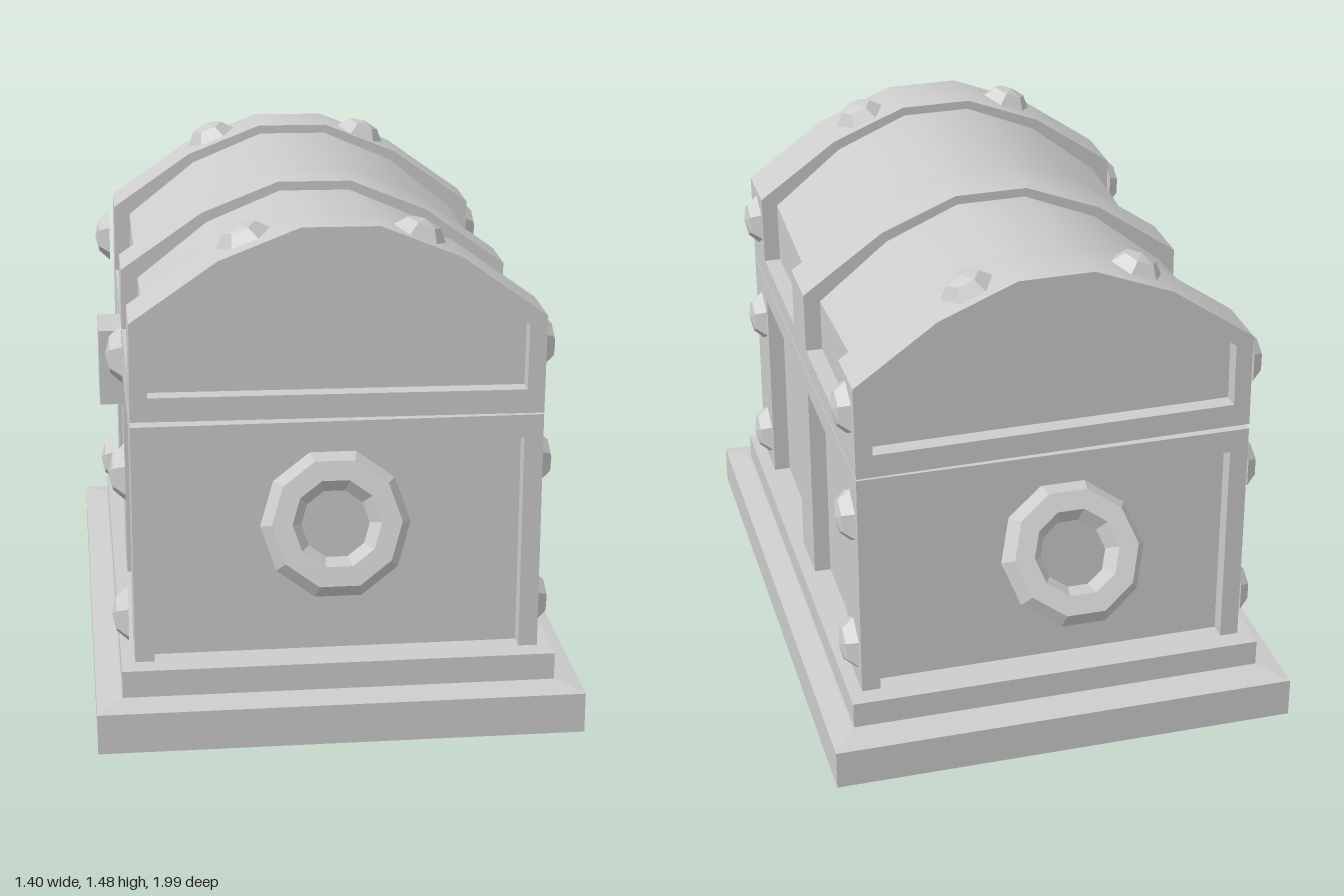
import * as THREE from 'three';
import { toCreasedNormals } from 'three/addons/utils/BufferGeometryUtils.js';

const flat = new THREE.MeshStandardMaterial({ color: 0xcccccc, flatShading: true });
const smooth = new THREE.MeshStandardMaterial({ color: 0xcccccc });
const midZ = 0.0375;

function add(parent, name, geometry, material = flat) {
  const mesh = new THREE.Mesh(geometry, material);
  mesh.name = name;
  parent.add(mesh);
  return mesh;
}

// Box given by its limits on each axis
function box(parent, name, x0, x1, y0, y1, z0, z1) {
  const mesh = add(parent, name, new THREE.BoxGeometry(x1 - x0, y1 - y0, z1 - z0));
  mesh.position.set((x0 + x1) / 2, (y0 + y1) / 2, (z0 + z1) / 2);
  return mesh;
}

// Arched outline from half its points, mirrored to the other side
function arch(PathType, half) {
  const right = half.map(([x, y]) => new THREE.Vector2(x, y));
  const left = half.map(([x, y]) => new THREE.Vector2(-x, y)).reverse();
  return new PathType([...right, ...left]);
}

function extrude(shape, z0, z1, steps = 1) {
  return new THREE.ExtrudeGeometry(shape, { depth: z1 - z0, steps, bevelEnabled: false }).translate(0, 0, z0);
}

// Six-sided domed rivet, its axis turned from +y by angle about z
function rivet(parent, x, y, z, angle, r) {
  const profile = [[0.001, 0], [r, 0], [r * 0.62, 0.034], [0, 0.046]].map(p => new THREE.Vector2(...p));
  const mesh = add(parent, 'rivet', new THREE.LatheGeometry(profile, 6, Math.PI / 2));
  mesh.position.set(x, y, z);
  mesh.rotation.z = angle;
}

export function createModel() {
  const model = new THREE.Group();
  model.name = 'chest';
  const straps = [[-0.74, -0.555], [-0.055, 0.13], [0.62, 0.815]];

  // Stepped base with a slightly sloping ledge
  box(model, 'basePlate', -0.7, 0.7, 0, 0.12, -0.9, 0.97);
  const ledge = box(model, 'baseLedge', -0.7, 0.7, 0.12, 0.13, -0.9, 0.97).geometry.attributes.position;
  for (let i = 0; i < ledge.count; i++) {
    if (ledge.getY(i) > 0) ledge.setXYZ(i, ledge.getX(i) * 0.9, ledge.getY(i), ledge.getZ(i) * 0.9);
  }
  box(model, 'baseStep', -0.625, 0.625, 0.12, 0.21, -0.8, 0.88);

  // Body: recessed core, top rim and upright straps
  const body = new THREE.Group();
  body.name = 'body';
  model.add(body);
  box(body, 'bodyPanels', -0.535, 0.535, 0.2, 0.9, -0.69, 0.765);
  box(body, 'bodyRim', -0.585, 0.585, 0.85, 0.92, -0.74, 0.815);
  for (const [z0, z1] of straps) {
    box(body, 'bodyStrap', 0.53, 0.585, 0.21, 0.85, z0, z1);
    box(body, 'bodyStrap', -0.585, -0.53, 0.21, 0.85, z0, z1);
  }

  // Lid, resting with a very slight tilt
  const lid = new THREE.Group();
  lid.name = 'lid';
  lid.position.y = 0.926;
  lid.rotation.z = -0.009;
  const lidParts = new THREE.Group();
  lidParts.position.y = -0.926;
  lid.add(lidParts);
  model.add(lid);

  const outer = [[0.585, 0.93], [0.585, 1.215], [0.34, 1.388], [0.11, 1.48]];
  const inner = [[0.535, 1.0], [0.535, 1.19], [0.325, 1.36], [0.105, 1.453]];
  const lowered = outer.map(([x, y], i) => [x, i ? y - 0.03 : y]);

  box(lidParts, 'lidRim', -0.585, 0.585, 0.93, 1.0, -0.74, 0.815);
  for (const [z0, z1] of [straps[0], straps[2]]) {
    const shape = arch(THREE.Shape, outer);
    shape.holes.push(arch(THREE.Path, inner));
    add(lidParts, 'lidEndStrap', toCreasedNormals(extrude(shape, z0, z1), 0.6), smooth);
  }
  add(lidParts, 'lidMiddleStrap',
    toCreasedNormals(extrude(arch(THREE.Shape, lowered), ...straps[1]), 0.6), smooth);

  // Barrel top that sags toward the middle
  const barrel = extrude(arch(THREE.Shape, inner), -0.69, 0.765, 2);
  const p = barrel.attributes.position;
  for (let i = 0; i < p.count; i++) {
    if (p.getY(i) > 1.05) p.setY(i, p.getY(i) - 0.036 * (1 - Math.abs(p.getZ(i) - midZ) / 0.58));
  }
  add(lidParts, 'lidBarrel', toCreasedNormals(barrel, 0.6), smooth);

  box(model, 'latch', -0.655, -0.58, 0.765, 1.0, -0.055, 0.13);

  // Rivets on the end straps
  for (const z of [-0.64, 0.715]) {
    for (const y of [0.32, 0.755, 1.105]) {
      rivet(model, 0.585, y, z, -Math.PI / 2, 0.085);
      rivet(model, -0.6, y, z, Math.PI / 2, 0.085);
    }
    rivet(model, 0.237, 1.43, z, -0.37, 0.08);
    rivet(model, -0.257, 1.43, z, 0.37, 0.08);
  }

  // Hanging ring handles
  for (const [name, y, z, tilt] of [['frontRing', 0.64, 0.885, -0.36], ['backRing', 0.66, -0.862, 0.58]]) {
    const ring = add(model, name, new THREE.TorusGeometry(0.155, 0.058, 6, 10));
    ring.position.set(-0.016, y, z);
    ring.rotation.x = tilt;
  }
  return model;
}
